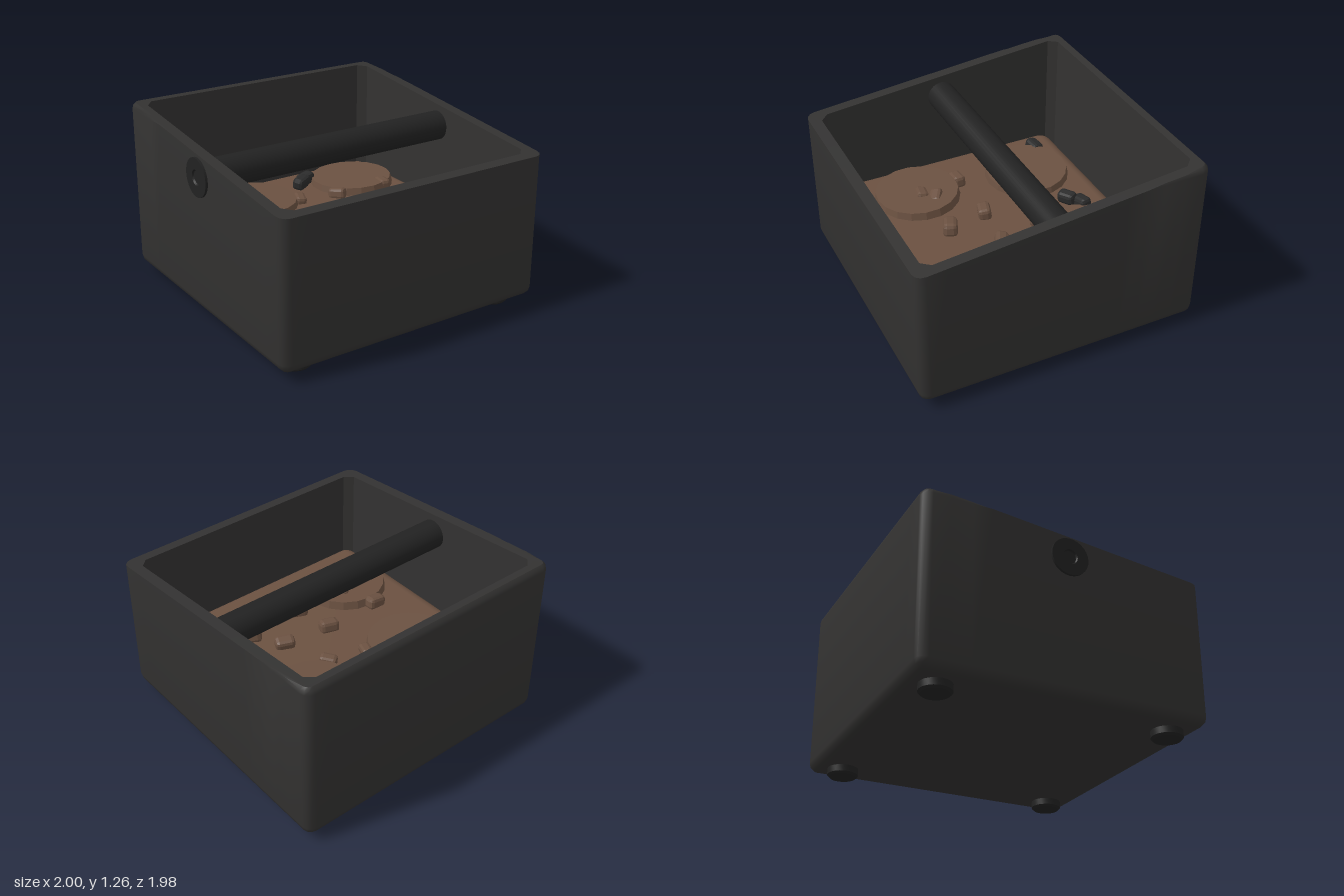
import * as THREE from 'three';
import { toCreasedNormals } from 'three/addons/utils/BufferGeometryUtils.js';
import { RoundedBoxGeometry } from 'three/addons/geometries/RoundedBoxGeometry.js';

const CX = 0.008; // the end cap on one side shifts the body slightly
const HALF = 0.992, INNER = 0.914, BASE = 0.06, TOP = 1.262, BEVEL = 0.065;

const paint = (color, flatShading = false) => new THREE.MeshStandardMaterial({ color, flatShading });
const shellMat = paint(0x333231);
const rubberMat = paint(0x222222);
const groundsMat = paint(0x6b5141);
const puckMat = paint(0x6b5141, true);
const darkMat = paint(0x2b2b2b, true);

function add(parent, name, geometry, material, x = 0, y = 0, z = 0) {
  const mesh = new THREE.Mesh(geometry, material);
  mesh.name = name;
  mesh.position.set(x, y, z);
  parent.add(mesh);
  return mesh;
}

// Sloping plane that cuts the top of the box
const rimHeight = (z) => 1.16 - 0.1 * z;

// Square ring with rounded (or chamfered) corners and subdivided sides, trimmed by the slope
function ring(half, radius, y, chamfer = false) {
  const corners = [], arc = 3, side = 14;
  for (let k = 0; k < 4; k++) {
    const pts = [];
    const mid = (k + 0.5) * Math.PI / 2;
    const cx = Math.sign(Math.cos(mid)) * (half - radius);
    const cz = Math.sign(Math.sin(mid)) * (half - radius);
    for (let i = 0; i <= arc; i++) {
      const a = (k + i / arc) * Math.PI / 2;
      pts.push(new THREE.Vector2(cx + radius * Math.cos(a), cz + radius * Math.sin(a)));
    }
    if (chamfer) for (let i = 1; i < arc; i++) pts[i].lerpVectors(pts[0], pts[arc], i / arc);
    corners.push(pts);
  }
  const out = [];
  corners.forEach((pts, k) => {
    const next = corners[(k + 1) % 4][0];
    out.push(...pts);
    for (let i = 1; i < side; i++) out.push(pts[arc].clone().lerp(next, i / side));
  });
  return out.map((p) => new THREE.Vector3(p.x, Math.min(y, rimHeight(p.y)), p.y));
}

// Skin a list of rings, closing each ring on itself
function loft(rings) {
  const n = rings[0].length, index = [];
  for (let i = 0; i < rings.length - 1; i++) {
    for (let j = 0; j < n; j++) {
      const a = i * n + j, b = i * n + (j + 1) % n;
      index.push(a, a + n, b, b, a + n, b + n);
    }
  }
  const geometry = new THREE.BufferGeometry().setFromPoints(rings.flat());
  geometry.setIndex(index);
  return toCreasedNormals(geometry, 0.7);
}

// Outside, sloped rim, cavity walls and floor as one skin
function shellGeometry() {
  const rings = [ring(0, 0, BASE)];
  const bevel = (t, y, b) => ring(HALF - b + b * Math.cos(t), Math.max(BEVEL - b + b * Math.cos(t), 0.004), y);
  for (let i = 3; i >= 0; i--) {
    const t = i / 3 * Math.PI / 2;
    rings.push(bevel(t, BASE + BEVEL * (1 - Math.sin(t)), BEVEL));
  }
  for (let i = 0; i <= 3; i++) {
    const t = i / 3 * Math.PI / 2, b = 0.05;
    rings.push(bevel(t, TOP - b * (1 - Math.sin(t)), b));
  }
  rings.push(ring(INNER, 0.055, 2, true), ring(INNER, 0.055, 0.14, true), ring(0, 0, 0.14));
  return loft(rings);
}

const lathe = (points, sides) =>
  toCreasedNormals(new THREE.LatheGeometry(points.map(([r, y]) => new THREE.Vector2(r, y)), sides), 0.6);

export function createModel() {
  const model = new THREE.Group();
  model.name = 'knockBox';
  add(model, 'shell', shellGeometry(), shellMat, CX);

  // Feet with a bevelled lower edge
  const footGeometry = lathe([[0, 0], [0.09, 0], [0.105, 0.015], [0.105, 0.07]], 24);
  for (const sx of [-1, 1]) {
    for (const sz of [-1, 1]) add(model, 'foot', footGeometry, rubberMat, CX + sx * 0.79, 0, sz * 0.797);
  }

  // Crossbar between the side walls
  const bar = add(model, 'crossbar', new THREE.CylinderGeometry(0.103, 0.103, 2 * INNER + 0.02, 32), rubberMat, CX, 1.01, 0);
  bar.rotation.z = Math.PI / 2;

  // End cap with a recessed centre on the right wall
  const cap = add(model, 'endCap',
    lathe([[0.13, -0.01], [0.13, 0.016], [0.052, 0.016], [0.045, 0.004], [0, 0.004]], 28),
    rubberMat, -0.984, 1.01, 0);
  cap.rotation.z = Math.PI / 2;

  // Bed of spent grounds
  add(model, 'groundsBed', new RoundedBoxGeometry(1.665, 0.44, 1.64, 5, 0.1), groundsMat, CX, 0.33, 0);

  // Pressed pucks: x, z, tilt about x, tilt about z
  const puckGeometry = new THREE.CylinderGeometry(0.288, 0.312, 0.1, 18);
  for (const [x, z, rx, rz] of [[-0.345, -0.405, 0.02, -0.02], [0.465, -0.41, -0.02, 0.02], [-0.435, 0.405, 0.02, 0.01]]) {
    add(model, 'puck', puckGeometry, puckMat, x, 0.55, z).rotation.set(rx, 0, rz);
  }

  // Loose lumps: x, z, yaw, height, size, dark
  const lumpGeometry = new RoundedBoxGeometry(0.15, 0.1, 0.1, 1, 0.028);
  const lumps = [
    [0.03, 0.36, -0.4, 0.575, 1], [0.45, 0.335, -0.6, 0.575, 1],
    [0.32, 0.12, -0.4, 0.575, 0.9], [-0.03, 0.08, -0.3, 0.575, 0.9],
    [-0.46, 0.09, 0, 0.575, 0.9], [0.21, -0.21, -0.9, 0.575, 0.8],
    [-0.32, 0.31, -0.6, 0.575, 0.85], [-0.395, 0.39, -0.2, 0.575, 0.85],
    [0.585, -0.19, 1.4, 0.575, 0.85], [-0.06, -0.28, 1.2, 0.56, 0.8],
    [-0.6, -0.6, 0.15, 0.58, 0.85, true], [0.17, -0.57, 0.2, 0.58, 0.85, true],
    [0.09, -0.5, 0.5, 0.59, 0.85, true],
  ];
  lumps.forEach(([x, z, yaw, y, size, dark], i) => {
    const lump = add(model, dark ? 'darkLump' : 'lump', lumpGeometry, dark ? darkMat : puckMat, x, y, z);
    lump.rotation.set(0.25 * Math.sin(i * 2.3), yaw, 0.15 * Math.cos(i * 1.7));
    lump.scale.setScalar(size);
  });
  return model;
}
